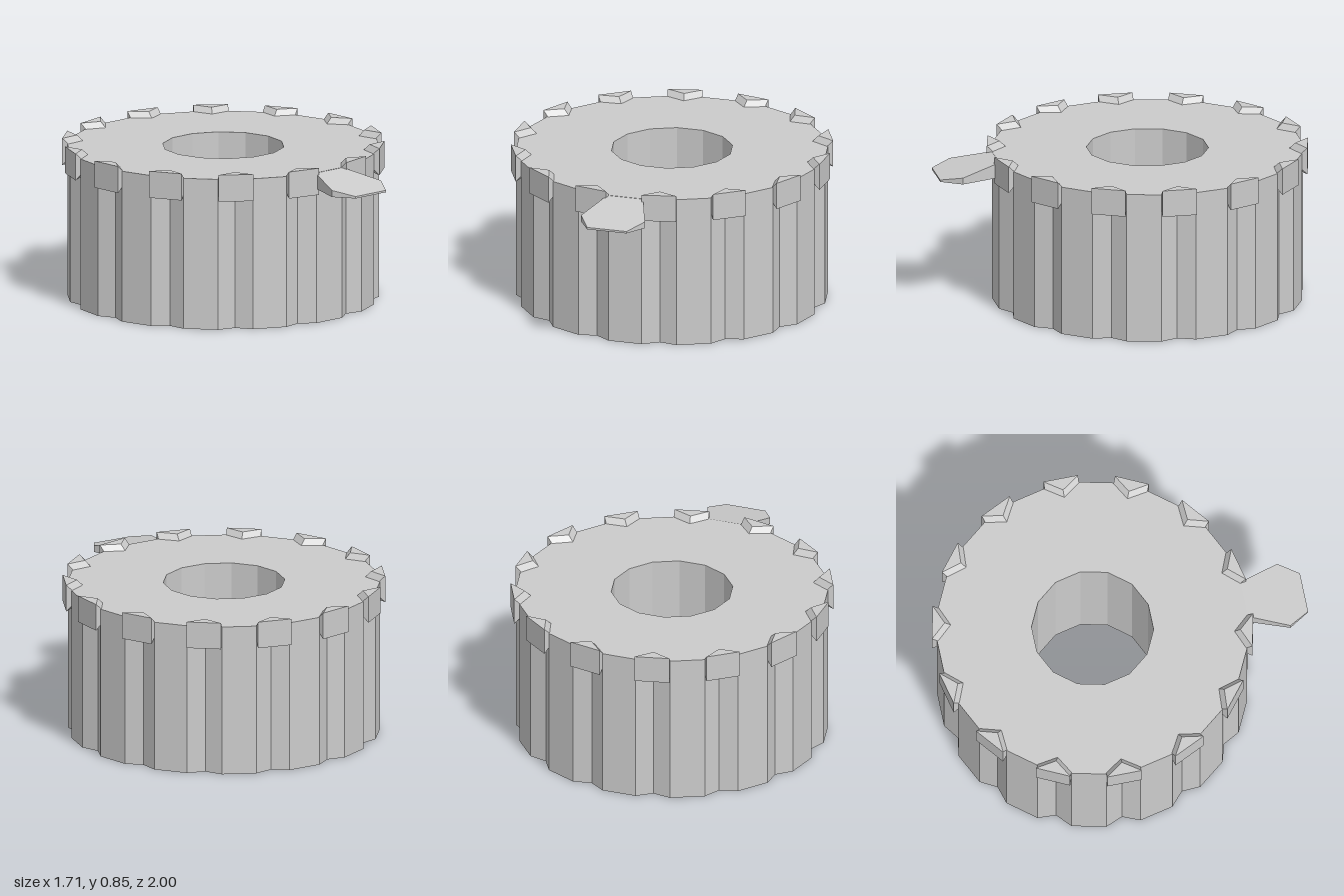
import * as THREE from 'three';

const COUNT = 14, CENTRE_Z = -0.148;
const material = new THREE.MeshStandardMaterial({ color: 0xcccccc, flatShading: true });

// Closed solid through stacked rings of [x, y, z], counter-clockwise seen from above
function loft(rings) {
  const n = rings[0].length, last = (rings.length - 1) * n, index = [];
  for (let i = 0; i < rings.length - 1; i++) {
    for (let j = 0; j < n; j++) {
      const k = (j + 1) % n;
      const a = i * n + j, b = i * n + k, c = b + n, d = a + n;
      index.push(a, b, c, a, c, d);
    }
  }
  for (let j = 1; j < n - 1; j++) {
    index.push(0, j + 1, j, last, last + j, last + j + 1);
  }
  const geometry = new THREE.BufferGeometry();
  geometry.setAttribute('position', new THREE.Float32BufferAttribute(rings.flat(2), 3));
  geometry.setIndex(index);
  const flat = geometry.toNonIndexed();
  flat.computeVertexNormals();
  return flat;
}

const polar = (r, a) => new THREE.Vector2(r * Math.cos(a), r * Math.sin(a));

// Ring body: shallow V grooves around the rim and a 14-sided bore
function bodyGeometry() {
  const rim = [], bore = [], half = 0.1125;
  for (let i = 0; i < COUNT; i++) {
    const a = (i / COUNT) * Math.PI * 2;
    rim.push(polar(0.83, a - half), polar(0.786, a), polar(0.83, a + half));
    bore.push(polar(0.325, a));
  }
  const shape = new THREE.Shape(rim);
  shape.holes.push(new THREE.Path(bore));
  return new THREE.ExtrudeGeometry(shape, { depth: 0.82, bevelEnabled: false }).rotateX(-Math.PI / 2);
}

// Wedge tooth: flat outer face, pointed inner side, chamfered above and below
function toothGeometry() {
  const outer = 0.853, h = 0.093;
  const ring = (y, inset) => [
    [outer, y, h], [outer, y, -h],
    [outer - inset, y, -h], [outer - 0.065 - inset, y, 0], [outer - inset, y, h],
  ];
  return loft([ring(0.705, 0.001), ring(0.738, 0.033), ring(0.82, 0.033), ring(0.85, 0.001)]);
}

// Front tab: hexagonal plate whose top slopes down to a thin front edge
function tabGeometry() {
  const outline = [[0.178, 0.89], [0.098, 0.67], [-0.098, 0.67], [-0.178, 0.89], [-0.11, 1], [0.11, 1]];
  const topY = (z) => 0.82 - (z - 0.67) * 0.225;
  return loft([
    outline.map(([x, z]) => [x, 0.735, z]),
    outline.map(([x, z]) => [x, topY(z), z]),
  ]);
}

export function createModel() {
  const model = new THREE.Group();
  model.name = 'groovedRing';
  const add = (name, geometry, parent) => {
    const mesh = new THREE.Mesh(geometry, material);
    mesh.name = name;
    parent.add(mesh);
    return mesh;
  };

  const ring = new THREE.Group();
  ring.name = 'ring';
  ring.position.z = CENTRE_Z;
  model.add(ring);
  add('body', bodyGeometry(), ring);

  // Teeth cap the grooves
  const tooth = toothGeometry();
  for (let i = 0; i < COUNT; i++) {
    add('tooth', tooth, ring).rotation.y = (i / COUNT) * Math.PI * 2;
  }

  add('frontTab', tabGeometry(), model);
  return model;
}
